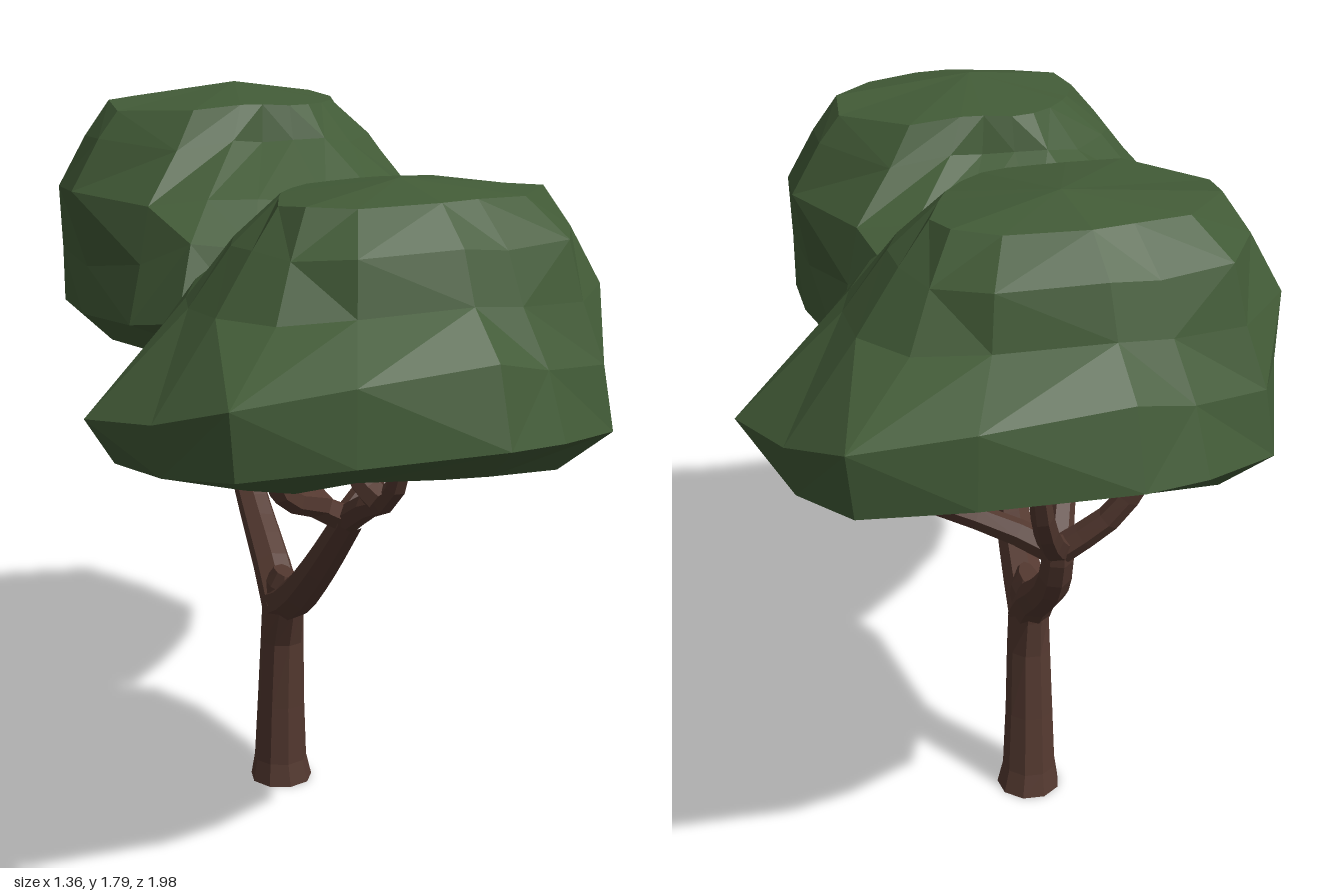
import * as THREE from 'three';

const leafGreen = new THREE.MeshStandardMaterial({ color: 0x425b37, flatShading: true });
leafGreen.name = 'leafGreen';
const barkBrown = new THREE.MeshStandardMaterial({ color: 0x543930, flatShading: true });
barkBrown.name = 'barkBrown';

// Seeded random numbers for the uneven foliage
function seeded(seed) {
  return () => (seed = (seed * 16807) % 2147483647) / 2147483647;
}

// Faceted crown lofted from horizontal cross-sections: radii at 16 angles, from +x towards +z
function crownGeometry() {
  const rnd = seeded(77);
  const angles = [13, 35, 56, 73, 110, 132, 151, 173, 189, 214, 240, 264, 291, 308, 325, 356];
  const N = angles.length, cx = -0.05, cz = 0.48;
  // Height offset of the rim around the crown
  const lift = [-0.01, 0, 0.02, 0.03, 0.03, 0.01, -0.02, -0.04, -0.04, -0.01, 0.02, 0.03, 0.03, 0.03, 0, -0.02];
  const pole = lift.map(() => 0);
  const rings = [
    { y: 1.035, tilt: 0, jitter: 0, r: pole },
    { y: 1.062, tilt: 0.5, jitter: 0.012, r: [0.44, 0.45, 0.35, 0.31, 0.3, 0.34, 0.36, 0.36, 0.34, 0.33, 0.36, 0.36, 0.37, 0.44, 0.46, 0.43] },
    { y: 1.15, tilt: 1, jitter: 0.008, r: [0.53, 0.57, 0.53, 0.52, 0.545, 0.63, 0.6, 0.57, 0.52, 0.5, 0.555, 0.525, 0.55, 0.61, 0.56, 0.51] },
    { y: 1.29, tilt: 2, jitter: 0.02, r: [0.53, 0.54, 0.49, 0.485, 0.53, 0.65, 0.63, 0.635, 0.54, 0.48, 0.5, 0.49, 0.5, 0.53, 0.52, 0.5] },
    { y: 1.44, tilt: 0.3, jitter: 0.025, r: [0.53, 0.5, 0.42, 0.39, 0.39, 0.44, 0.44, 0.39, 0.37, 0.36, 0.36, 0.36, 0.36, 0.41, 0.47, 0.52] },
    { y: 1.56, tilt: 0, jitter: 0.025, r: [0.48, 0.45, 0.39, 0.35, 0.35, 0.37, 0.34, 0.3, 0.27, 0.23, 0.19, 0.175, 0.18, 0.24, 0.37, 0.46] },
    { y: 1.65, tilt: 0.2, jitter: 0.015, r: [0.41, 0.37, 0.31, 0.28, 0.28, 0.29, 0.25, 0.19, 0.16, 0.15, 0.14, 0.14, 0.15, 0.19, 0.3, 0.4] },
    { y: 1.69, tilt: 0, jitter: 0, r: pole, dx: 0.05, dz: 0.12 },
  ];
  const pos = [], index = [];
  rings.forEach(({ y, tilt, jitter, r, dx = 0, dz = 0 }) => {
    for (let k = 0; k < N; k++) {
      const a = THREE.MathUtils.degToRad(angles[k]);
      const d = r[k] + jitter * (rnd() - 0.5);
      const h = y + tilt * lift[k] + jitter * (rnd() - 0.5);
      pos.push(cx + dx + d * Math.cos(a), h, cz + dz + d * Math.sin(a));
    }
  });
  for (let i = 0; i < rings.length - 1; i++) {
    for (let k = 0; k < N; k++) {
      const n = (k + 1) % N;
      const a = i * N + k, b = i * N + n, c = a + N, d = b + N;
      if (i === 0) index.push(a, c, d);
      else if (i === rings.length - 2) index.push(a, c, b);
      else if (rnd() < 0.5) index.push(a, c, b, b, c, d);
      else index.push(a, c, d, a, d, b);
    }
  }
  const g = new THREE.BufferGeometry();
  g.setAttribute('position', new THREE.Float32BufferAttribute(pos, 3));
  g.setIndex(index);
  g.computeVertexNormals();
  return g;
}

// Tapered limb through a few points
function limb(name, points, r0, r1, segments = 7, sides = 7) {
  const curve = new THREE.CatmullRomCurve3(points.map(p => new THREE.Vector3(...p)));
  const g = new THREE.TubeGeometry(curve, segments, 1, sides, false);
  const p = g.attributes.position, v = new THREE.Vector3();
  for (let i = 0; i < p.count; i++) {
    const t = Math.floor(i / (sides + 1)) / segments;
    const c = curve.getPointAt(t);
    v.fromBufferAttribute(p, i).sub(c).multiplyScalar(r0 + (r1 - r0) * t).add(c);
    p.setXYZ(i, v.x, v.y, v.z);
  }
  g.computeVertexNormals();
  const mesh = new THREE.Mesh(g, barkBrown);
  mesh.name = name;
  return mesh;
}

// Trunk from stacked sections [x, y, z, rx, rz], closed at both ends
function trunkGeometry() {
  const sections = [
    [-0.025, 0, -0.145, 0.081, 0.081],
    [-0.028, 0.06, -0.142, 0.069, 0.069],
    [-0.03, 0.22, -0.13, 0.062, 0.062],
    [-0.03, 0.4, -0.117, 0.056, 0.061],
    [-0.032, 0.5, -0.1, 0.05, 0.085],
    [-0.032, 0.56, -0.095, 0.042, 0.1],
    [-0.032, 0.595, -0.09, 0.022, 0.06],
  ];
  const sides = 9;
  const g = new THREE.CylinderGeometry(1, 1, 1, sides, sections.length - 1);
  const p = g.attributes.position;
  for (let i = 0; i < p.count; i++) {
    const s = sections[Math.round((p.getY(i) + 0.5) * (sections.length - 1))];
    p.setXYZ(i, s[0] + p.getX(i) * s[3], s[1], s[2] + p.getZ(i) * s[4]);
  }
  g.computeVertexNormals();
  return g;
}

export function createModel() {
  const tree = new THREE.Group();
  tree.name = 'tree';

  const trunk = new THREE.Mesh(trunkGeometry(), barkBrown);
  trunk.name = 'trunk';
  tree.add(trunk);

  // Two crowns: the rear one is the front one turned half round and raised
  const foliage = crownGeometry();
  const frontCrown = new THREE.Mesh(foliage, leafGreen);
  frontCrown.name = 'frontCrown';
  const rearCrown = new THREE.Mesh(foliage, leafGreen);
  rearCrown.name = 'rearCrown';
  rearCrown.rotation.y = Math.PI;
  rearCrown.position.y = 0.097;
  tree.add(frontCrown, rearCrown);

  // Main boughs of the fork
  tree.add(
    limb('frontBough', [[-0.032, 0.5, -0.11], [-0.032, 0.555, 0], [-0.03, 0.695, 0.18], [-0.03, 0.88, 0.39]], 0.054, 0.036),
    limb('rearBough', [[-0.032, 0.49, -0.1], [-0.032, 0.58, -0.19], [-0.03, 0.66, -0.3], [-0.03, 0.765, -0.42], [-0.03, 0.85, -0.465], [-0.03, 0.92, -0.48]], 0.054, 0.036, 9),
  );

  // Twigs that carry the crowns
  const twigs = {
    frontTwig: [
      [[-0.03, 0.86, 0.35], [-0.02, 0.93, 0.47], [0, 0.98, 0.57], [0.01, 1.14, 0.65]],
      [[-0.02, 0.97, 0.56], [-0.05, 1.01, 0.51], [-0.07, 1.13, 0.47]],
      [[-0.03, 0.86, 0.35], [0.06, 0.96, 0.32], [0.13, 1.12, 0.27]],
      [[-0.03, 0.87, 0.36], [-0.15, 0.95, 0.4], [-0.2, 1.13, 0.42]],
      [[-0.1, 0.92, 0.385], [-0.22, 0.98, 0.47], [-0.28, 1.13, 0.5]],
    ],
    rearTwig: [
      [[-0.03, 0.87, -0.47], [0.1, 0.93, -0.42], [0.25, 0.98, -0.37], [0.29, 1.05, -0.3], [0.29, 1.2, -0.2]],
      [[0.24, 0.98, -0.37], [0.3, 1.04, -0.42], [0.29, 1.2, -0.46]],
      [[-0.03, 0.88, -0.47], [0.01, 0.96, -0.59], [0.05, 1.08, -0.7], [0.08, 1.25, -0.77]],
      [[-0.03, 0.88, -0.48], [-0.15, 0.99, -0.52], [-0.27, 1.22, -0.56]],
      [[-0.03, 0.88, -0.47], [-0.07, 1.01, -0.34], [-0.1, 1.2, -0.22]],
    ],
  };
  for (const [name, paths] of Object.entries(twigs)) {
    paths.forEach((path, i) => tree.add(limb(name + (i + 1), path, 0.034, 0.021, 6, 6)));
  }
  return tree;
}
